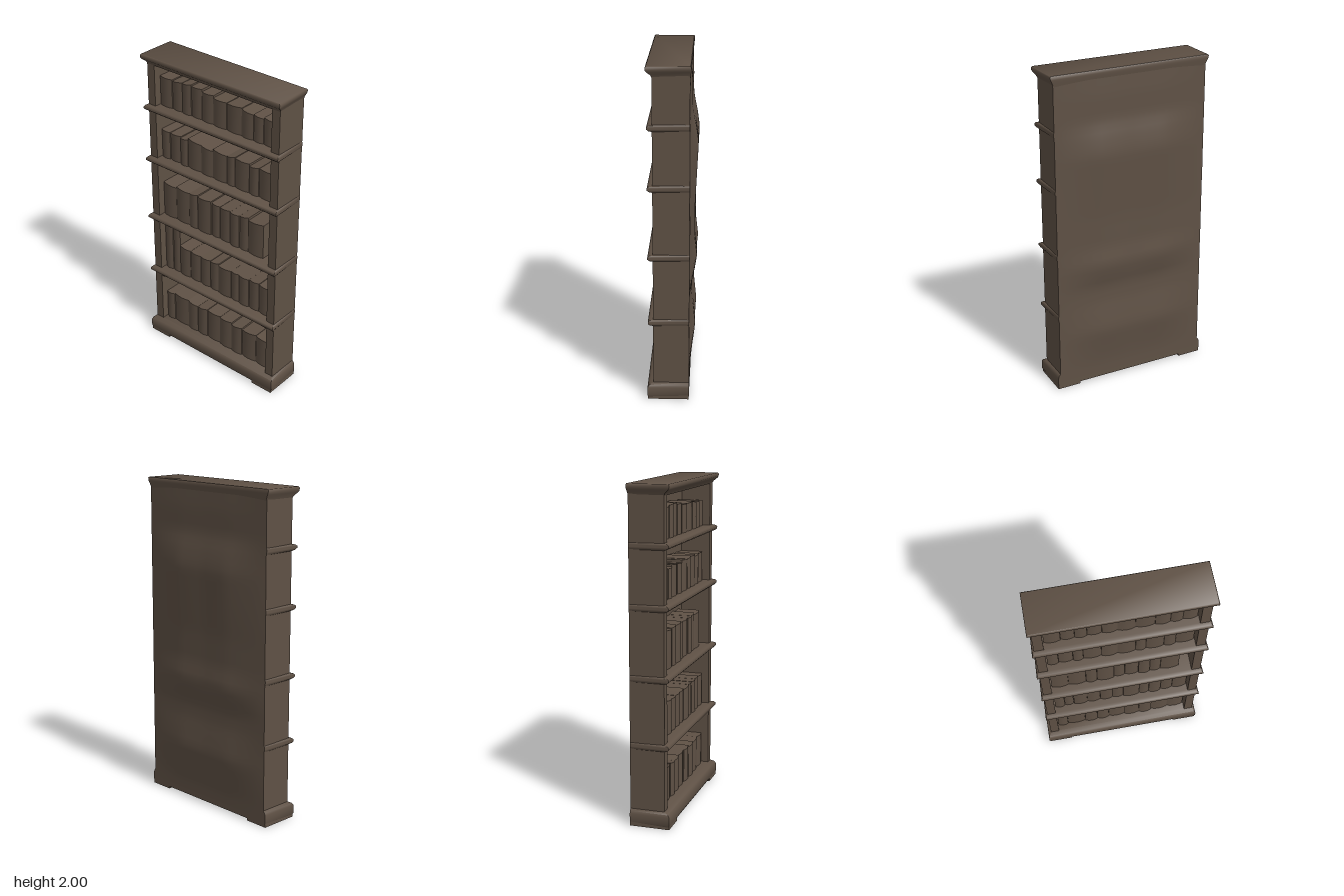
import * as THREE from 'three';
import { toCreasedNormals } from 'three/addons/utils/BufferGeometryUtils.js';

const wood = new THREE.MeshStandardMaterial({ color: 0x5f5145 });
wood.name = 'dark brown wood';

let seed = 7;
const rand = () => (seed = (seed * 16807) % 2147483647) / 2147483647;

function add(parent, name, geometry, x = 0, y = 0, z = 0) {
  const mesh = new THREE.Mesh(geometry, wood);
  mesh.name = name;
  mesh.position.set(x, y, z);
  parent.add(mesh);
  return mesh;
}

// Box given by its limits
function block(parent, name, x0, x1, y0, y1, z0, z1) {
  return add(parent, name, new THREE.BoxGeometry(x1 - x0, y1 - y0, z1 - z0),
    (x0 + x1) / 2, (y0 + y1) / 2, (z0 + z1) / 2);
}

// Moulding from stacked outlines: [y, half width at front, half width at back, front z, back z]
function moulding(rings) {
  const pos = [], idx = [];
  for (const [y, wf, wb, zf, zb] of rings) {
    pos.push(-wf, y, zf, wf, y, zf, wb, y, zb, -wb, y, zb);
  }
  for (let r = 0; r < rings.length - 1; r++) {
    for (let i = 0; i < 4; i++) {
      const a = r * 4 + i, b = r * 4 + (i + 1) % 4;
      idx.push(a, b, b + 4, a, b + 4, a + 4);
    }
  }
  const t = (rings.length - 1) * 4;
  idx.push(t, t + 1, t + 2, t, t + 2, t + 3, 0, 2, 1, 0, 3, 2);
  const g = new THREE.BufferGeometry();
  g.setAttribute('position', new THREE.Float32BufferAttribute(pos, 3));
  g.setIndex(idx);
  return toCreasedNormals(g, 0.9);
}

// Book with a rounded spine and a slightly uneven top
function bookGeometry(w, h, d) {
  const g = new THREE.BoxGeometry(w, h, d, 4, 1, 1);
  const p = g.attributes.position;
  const slope = (rand() - 0.5) * 0.012;
  for (let i = 0; i < p.count; i++) {
    const u = p.getX(i) / (w / 2);
    if (p.getZ(i) > 0) p.setZ(i, d / 2 - 0.009 * u * u);
    if (p.getY(i) > 0) p.setY(i, h / 2 + slope * u);
  }
  return toCreasedNormals(g, 0.7);
}

// Row of books from x0 to x1, the top running from top0 to top1
function bookRow(parent, name, x0, x1, base, top0, top1, count) {
  const row = new THREE.Group();
  row.name = name;
  const widths = Array.from({ length: count }, () => 0.7 + rand() * 0.6);
  const scale = (x1 - x0) / widths.reduce((a, b) => a + b, 0);
  let x = x0;
  for (const k of widths) {
    const w = k * scale;
    const f = (x + w / 2 - x0) / (x1 - x0);
    const h = top0 + (top1 - top0) * f + (rand() - 0.5) * 0.012 - base;
    const d = 0.148 + rand() * 0.01;
    add(row, 'book', bookGeometry(w - 0.001, h, d), x + w / 2, base + h / 2, -0.078 + d / 2);
    x += w;
  }
  parent.add(row);
}

// Sagging outer back, bulging between its edges
function backGeometry() {
  const bulge = [[0, 0], [0.12, 0.002], [0.2, 0.01], [0.35, 0.03], [0.45, 0.02], [0.55, 0.008],
    [0.65, 0.008], [0.72, 0.025], [0.8, 0.038], [0.92, 0.024], [1.1, 0.024], [1.3, 0.034],
    [1.5, 0.044], [1.6, 0.03], [1.7, 0.008], [1.85, 0.008], [1.96, 0.002]];
  const at = (y) => {
    const i = Math.max(1, bulge.findIndex(([b]) => b >= y - 1e-6));
    const [ya, a] = bulge[i - 1], [yb, b] = bulge[i];
    return THREE.MathUtils.lerp(a, b, THREE.MathUtils.clamp((y - ya) / (yb - ya), 0, 1));
  };
  const g = new THREE.PlaneGeometry(0.98, 1.9, 24, 48);
  g.rotateY(Math.PI).translate(0, 1.0, 0);
  const p = g.attributes.position;
  for (let i = 0; i < p.count; i++) {
    const x = p.getX(i);
    const edge = THREE.MathUtils.clamp((0.49 - Math.abs(x)) / 0.29, 0, 1);
    const ripple = 0.9 + 0.1 * Math.sin(Math.abs(x) * Math.PI / 0.4);
    p.setZ(i, -0.101 - at(p.getY(i)) * Math.pow(edge, 0.8) * ripple);
  }
  g.computeVertexNormals();
  return g;
}

export function createModel() {
  const bookcase = new THREE.Group();
  bookcase.name = 'bookcase';

  // Plinth with two low feet
  add(bookcase, 'plinth', moulding([
    [0.015, 0.505, 0.5, 0.14, -0.1], [0.025, 0.51, 0.505, 0.145, -0.1],
    [0.075, 0.51, 0.505, 0.145, -0.1], [0.09, 0.505, 0.5, 0.135, -0.1],
    [0.105, 0.488, 0.488, 0.108, -0.1]]));
  for (const s of [-1, 1]) {
    const foot = block(bookcase, 'foot', -0.075, 0.075, 0, 0.03, -0.099, 0.143);
    foot.position.x = s * 0.43;
    // Side uprights
    const side = block(bookcase, 'side', -0.0275, 0.0275, 0.08, 1.96, -0.1, 0.11);
    side.position.x = s * 0.4625;
    // Corner brackets below the lowest shelf
    const shape = new THREE.Shape();
    shape.moveTo(0.3, 0.478);
    shape.lineTo(0.436, 0.478);
    shape.lineTo(0.436, 0.45);
    shape.lineTo(0.36, 0.455);
    const bracket = new THREE.ExtrudeGeometry(shape, { depth: 0.02, bevelEnabled: false });
    if (s < 0) bracket.rotateY(Math.PI).translate(0, 0, 0.02);
    add(bookcase, 'bracket', bracket, 0, 0, 0.088);
  }

  // Back panel, flat inside and uneven outside
  block(bookcase, 'backPanel', -0.44, 0.44, 0.06, 1.96, -0.1, -0.075);
  add(bookcase, 'outerBack', backGeometry());

  // Shelves with a rounded nose
  for (const y of [0.49, 0.892, 1.305, 1.655]) {
    add(bookcase, 'shelf', moulding([
      [-0.022, 0.488, 0.488, 0.108, -0.099], [-0.014, 0.499, 0.491, 0.13, -0.099],
      [-0.004, 0.505, 0.493, 0.14, -0.099], [0.008, 0.505, 0.493, 0.14, -0.099],
      [0.016, 0.499, 0.491, 0.13, -0.099], [0.021, 0.488, 0.488, 0.108, -0.099]]), 0, y, 0);
  }

  // Flared cornice
  add(bookcase, 'cornice', moulding([
    [1.935, 0.488, 0.488, 0.109, -0.101], [1.95, 0.495, 0.491, 0.117, -0.103],
    [1.968, 0.507, 0.5, 0.138, -0.106], [1.978, 0.511, 0.505, 0.145, -0.107],
    [1.994, 0.511, 0.508, 0.145, -0.107], [2.0, 0.506, 0.503, 0.14, -0.103]]));

  // Books, bottom row to top row
  bookRow(bookcase, 'bottomBooks', -0.43, 0.43, 0.1, 0.308, 0.308, 9);
  bookRow(bookcase, 'tallBooks', -0.43, -0.308, 0.505, 0.86, 0.86, 2);
  bookRow(bookcase, 'secondRowBooks', -0.306, 0.43, 0.505, 0.71, 0.712, 9);
  bookRow(bookcase, 'thirdRowBooks', -0.43, 0.362, 0.905, 1.142, 1.14, 9);
  bookRow(bookcase, 'fourthRowBooks', -0.43, 0.43, 1.32, 1.508, 1.51, 10);
  bookRow(bookcase, 'topBooksLeft', -0.43, -0.02, 1.67, 1.862, 1.86, 5);
  bookRow(bookcase, 'topBooksRight', -0.02, 0.43, 1.67, 1.85, 1.832, 5);

  return bookcase;
}
